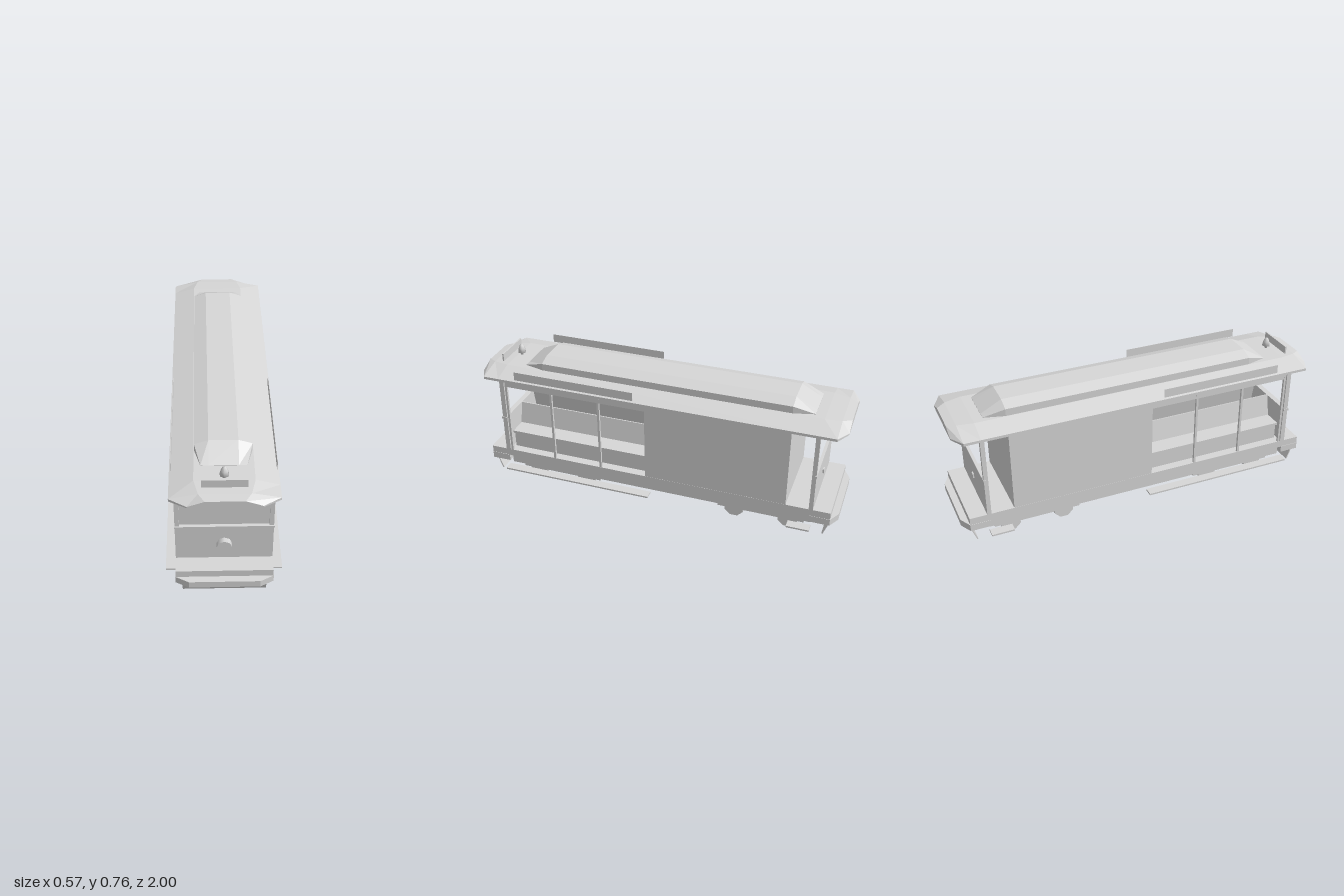
import * as THREE from 'three';

const grey = new THREE.MeshStandardMaterial({ color: 0xd6d6d6 });
grey.name = 'lightGrey';

// Flat-faced loft through rings of [x, y], counter-clockwise seen from +z, with z increasing
function loft(sections) {
  const pos = [];
  const put = (s, j) => pos.push(...s.ring[j % s.ring.length], s.z);
  const n = sections[0].ring.length;
  for (let i = 0; i < sections.length - 1; i++) {
    const a = sections[i], b = sections[i + 1];
    for (let j = 0; j < n; j++) {
      put(a, j); put(a, j + 1); put(b, j + 1);
      put(a, j); put(b, j + 1); put(b, j);
    }
  }
  const first = sections[0], last = sections[sections.length - 1];
  for (let j = 1; j < n - 1; j++) {
    put(first, 0); put(first, j + 1); put(first, j);
    put(last, 0); put(last, j); put(last, j + 1);
  }
  const g = new THREE.BufferGeometry();
  g.setAttribute('position', new THREE.Float32BufferAttribute(pos, 3));
  g.computeVertexNormals();
  return g;
}

// Symmetric ring from its right half, listed bottom to top
const ring = (half) => [...half, ...half.map(([x, y]) => [-x, y]).reverse()];

export function createModel() {
  const group = new THREE.Group();
  const add = (name, geometry, x = 0, y = 0, z = 0) => {
    const m = new THREE.Mesh(geometry, grey);
    m.name = name;
    m.position.set(x, y, z);
    group.add(m);
    return m;
  };
  // Box given by its limits
  const box = (name, x0, x1, y0, y1, z0, z1) =>
    add(name, new THREE.BoxGeometry(x1 - x0, y1 - y0, z1 - z0),
      (x0 + x1) / 2, (y0 + y1) / 2, (z0 + z1) / 2);
  const sideBox = (name, s, x0, x1, ...rest) =>
    s > 0 ? box(name, x0, x1, ...rest) : box(name, -x1, -x0, ...rest);

  // Chassis and floor
  box('underframe', -0.2, 0.2, 0.105, 0.172, -0.86, 0.86);
  box('floor', -0.233, 0.233, 0.17, 0.21, -0.965, 0.965);

  // Chamfered bumpers and raked aprons at both ends
  const bumperGeo = loft([[0.86, 0.235], [0.965, 0.235], [0.984, 0.2], [1, 0.17]]
    .map(([z, w]) => ({ z, ring: ring([[w, 0.135], [w, 0.172]]) })));
  for (const s of [1, -1]) {
    add('bumper', bumperGeo).rotation.y = s > 0 ? 0 : Math.PI;
    const apron = box('apron', -0.203, 0.203, 0.047, 0.14, s * 0.945 - 0.003, s * 0.945 + 0.003);
    apron.rotation.x = s * 0.36;
  }

  // Trucks and wheels
  const wheelGeo = new THREE.CylinderGeometry(0.056, 0.056, 0.024, 8).rotateZ(Math.PI / 2);
  wheelGeo.rotateX(Math.PI / 8);
  for (const c of [0.583, -0.583]) {
    box('truckFrame', -0.143, 0.143, 0.05, 0.106, c - 0.237, c + 0.237);
    for (const dz of [-0.148, 0.148])
      for (const x of [-0.128, 0.128]) add('wheel', wheelGeo, x, 0.054, c + dz);
  }

  // Closed cabin
  box('cabin', -0.232, 0.232, 0.21, 0.656, -0.73, 0.03);

  // Front end: dash, one-sided windscreen, rail and headlamp
  box('frontDash', -0.233, 0.233, 0.21, 0.41, 0.855, 0.877);
  add('windscreen', new THREE.PlaneGeometry(0.424, 0.246), 0, 0.533, 0.866);
  box('frontRail', -0.236, 0.236, 0.409, 0.421, 0.853, 0.883);
  const lamp = new THREE.CylinderGeometry(0.037, 0.037, 0.028, 8).rotateX(Math.PI / 2);
  add('headlamp', lamp, 0, 0.306, 0.891);

  // Rear platform: dash, rail and coupling
  box('rearDash', -0.233, 0.233, 0.21, 0.41, -0.873, -0.863);
  box('rearRail', -0.236, 0.236, 0.411, 0.419, -0.876, -0.86);
  box('rearCoupling', -0.012, 0.012, 0.295, 0.319, -0.88, -0.873);

  for (const s of [1, -1]) {
    // Corner posts
    sideBox('frontPost', s, 0.212, 0.233, 0.21, 0.656, 0.851, 0.877);
    sideBox('rearPost', s, 0.212, 0.233, 0.21, 0.656, -0.873, -0.851);

    // Open section: posts and header
    for (const z of [0.84, 0.575, 0.302, 0.036])
      sideBox('sidePost', s, 0.219, 0.232, 0.21, 0.656, z - 0.006, z + 0.006);
    sideBox('header', s, 0.219, 0.231, 0.615, 0.656, 0.03, 0.845);

    // Outward-facing bench with sloping back
    sideBox('benchRiser', s, 0.175, 0.185, 0.21, 0.305, 0.03, 0.84);
    sideBox('benchSeat', s, 0.07, 0.2, 0.303, 0.317, 0.03, 0.84);
    const back = sideBox('benchBack', s, 0.08, 0.09, 0.31, 0.437, 0.03, 0.84);
    back.rotation.z = s * 0.2;

    // Running board and rear step
    sideBox('runningBoard', s, 0.235, 0.285, 0.107, 0.116, 0.01, 0.86);
    sideBox('rearStep', s, 0.235, 0.285, 0.107, 0.116, -0.87, -0.75);

    // Roof-edge sign boards
    sideBox('sideSign', s, 0.244, 0.246, 0.675, 0.722, 0.1, 0.775);
  }

  // Roof with drooping ends
  const roofRing = (w, y0, ye, wi, yi) => ring([[w, y0], [w, ye], [wi, yi]]);
  const roofEnd = roofRing(0.17, 0.654, 0.661, 0.09, 0.69);
  const roofCorner = roofRing(0.253, 0.654, 0.668, 0.12, 0.696);
  const roofMid = roofRing(0.253, 0.654, 0.668, 0.14, 0.7);
  add('roof', loft([
    { z: -1, ring: roofEnd }, { z: -0.955, ring: roofCorner }, { z: -0.87, ring: roofMid },
    { z: 0.87, ring: roofMid }, { z: 0.955, ring: roofCorner }, { z: 1, ring: roofEnd },
  ]));

  // Raised upper deck with sloping ends
  const deckEnd = ring([[0.108, 0.695], [0.108, 0.701], [0.07, 0.702]]);
  const deckMid = ring([[0.137, 0.695], [0.137, 0.738], [0.07, 0.76]]);
  add('upperDeck', loft([
    { z: -0.82, ring: deckEnd }, { z: -0.71, ring: deckMid },
    { z: 0.66, ring: deckMid }, { z: 0.77, ring: deckEnd },
  ]));

  // Bell on a short stem, and the front sign
  const bell = [[0, -0.005], [0.008, -0.005], [0.008, 0.014], [0.024, 0.015], [0.018, 0.04], [0.009, 0.058], [0, 0.062]]
    .map(([r, y]) => new THREE.Vector2(r, y));
  add('bell', new THREE.LatheGeometry(bell, 6), 0, 0.7, 0.85);
  box('frontSign', -0.105, 0.105, 0.692, 0.74, 0.908, 0.916);

  return group;
}
